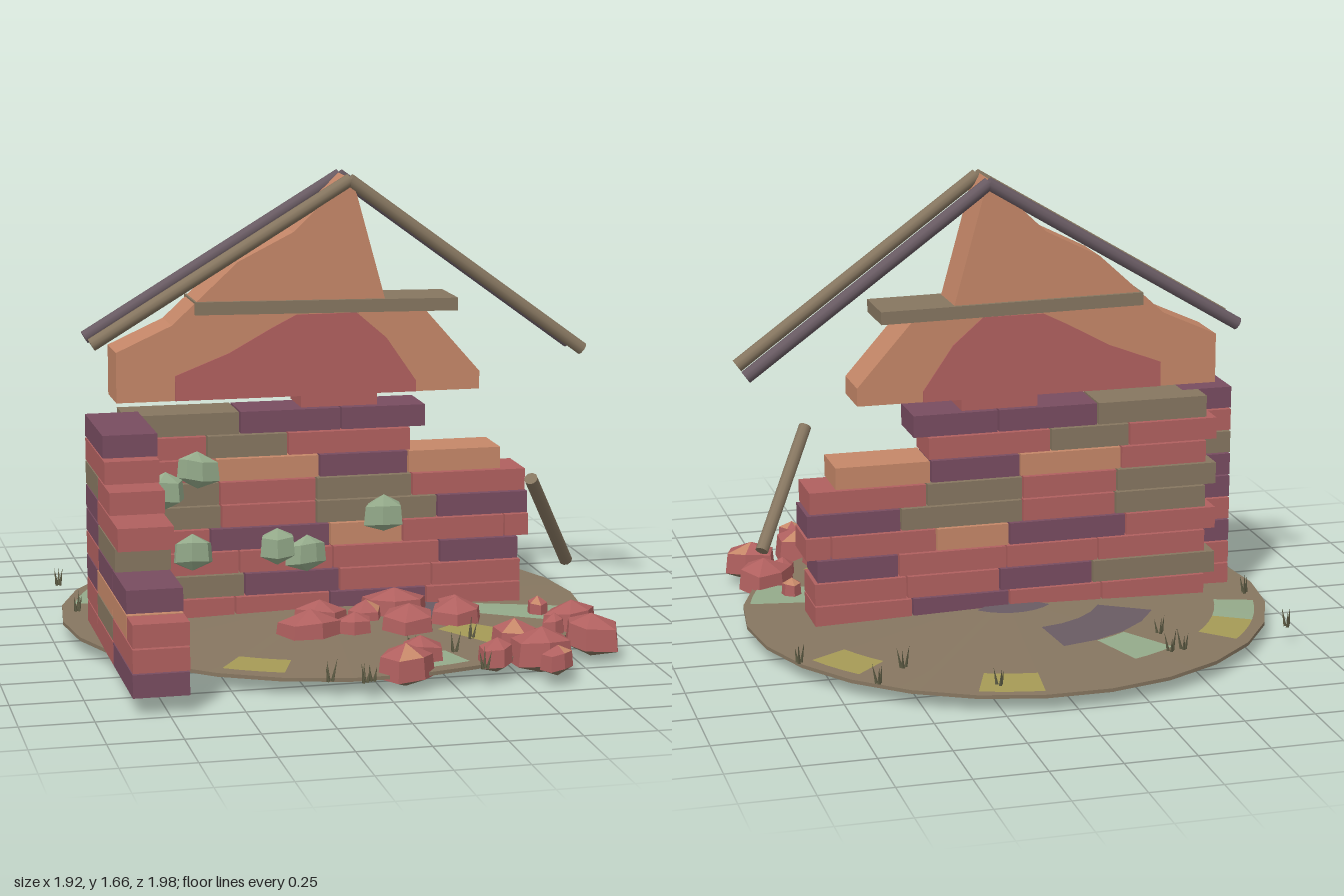
import * as THREE from 'three';

const paint = (name, color, side = THREE.FrontSide) => {
  const m = new THREE.MeshStandardMaterial({ color, side });
  m.name = name;
  return m;
};

export function createModel() {
  const model = new THREE.Group();
  model.name = 'ruinedHouse';
  const M = {
    R: paint('brick red', 0xb0605f),
    P: paint('brick purple', 0x784c60),
    O: paint('olive brown', 0x867660),
    T: paint('terracotta', 0xc58768),
    D: paint('dusky purple', 0x695b63),
    Y: paint('dry yellow', 0xa59a56),
    G: paint('moss green', 0x94aa8a),
    K: paint('dark soil', 0x484346),
    B: paint('grass', 0x65634a, THREE.DoubleSide),
  };
  let seed = 7;
  const rnd = () => (seed = (seed * 16807) % 2147483647) / 2147483647;

  const group = (name) => {
    const g = new THREE.Group();
    g.name = name;
    model.add(g);
    return g;
  };
  const add = (parent, name, geo, mat, x = 0, y = 0, z = 0) => {
    const m = new THREE.Mesh(geo, mat);
    m.name = name;
    m.position.set(x, y, z);
    parent.add(m);
    return m;
  };

  // Ground: 26-sided shallow mound with dark underside
  const SIDES = 26, STEP = (Math.PI * 2) / SIDES, RADIUS = 0.955, CX = -0.004, CZ = -0.05;
  const height = (r) => 0.088 - 0.025 * (r / RADIUS);
  const ground = group('ground');
  const lathe = (pts) => new THREE.LatheGeometry(pts.map((p) => new THREE.Vector2(...p)), SIDES, Math.PI / 2);
  add(ground, 'soilTop', lathe([[RADIUS, height(RADIUS)], [0, height(0)]]), M.O, CX, 0, CZ);
  add(ground, 'soilRim', lathe([[RADIUS, 0.05], [RADIUS, height(RADIUS)]]), M.O, CX, 0, CZ);
  add(ground, 'soilUnderside', new THREE.CircleGeometry(RADIUS, SIDES).rotateX(Math.PI / 2), M.K, CX, 0.05, CZ);

  // Ground patches: [material, inner radius, outer radius, first segment, segment count]
  [['D', 0.345, 0.545, 7, 4], ['D', 0.01, 0.18, 3, 7], ['D', 0.345, 0.555, -3, 2],
    ['G', 0.55, 0.765, 8, 1], ['G', 0.765, 0.91, 11, 1], ['G', 0.765, 0.91, -6, 1], ['G', 0.555, 0.93, -2, 1],
    ['Y', 0.765, 0.91, 10, 1], ['Y', 0.765, 0.93, 5, 1], ['Y', 0.765, 0.91, 2, 1],
    ['Y', 0.765, 0.91, -9, 1], ['Y', 0.555, 0.85, -4, 1],
  ].forEach(([c, r0, r1, s, n]) => {
    const geo = new THREE.RingGeometry(r0, r1, n, 1, s * STEP, n * STEP).rotateX(-Math.PI / 2);
    const p = geo.attributes.position;
    for (let i = 0; i < p.count; i++) p.setY(i, height(Math.hypot(p.getX(i), p.getZ(i))) + 0.004);
    geo.computeVertexNormals();
    add(ground, 'groundPatch', geo, M[c], CX, 0, CZ);
  });

  // Brick courses, bottom to top: alternating colour and brick end
  const PITCH = 0.085, BRICK = 0.079, GAP = 0.007;
  const rowY = (i) => 0.101 + PITCH * i;
  const backRows = [
    ['R', -0.35, 'R', 0, 'P', 0.36, 'R', 0.72],
    ['O', -0.315, 'P', 0.035, 'R', 0.38, 'R', 0.72],
    ['R', -0.335, 'R', 0.01, 'R', 0.41, 'P', 0.71],
    ['R', -0.44, 'P', 0, 'T', 0.27, 'R', 0.655, 'R', 0.75],
    ['O', -0.4, 'R', -0.05, 'O', 0.4, 'P', 0.745],
    ['O', -0.405, 'R', -0.05, 'O', 0.305, 'R', 0.735],
    ['R', -0.42, 'T', -0.04, 'P', 0.29, 'T', 0.64],
    ['R', -0.45, 'O', -0.155, 'R', 0.3],
    ['O', -0.33, 'P', 0.04, 'P', 0.355],
  ];
  const sideRows = [
    ['R', 0.2, 'R', 0.55, 'P', 0.97],
    ['R', 0.2, 'O', 0.55, 'R', 0.975],
    ['P', 0.2, 'T', 0.55, 'T', 0.855, 'R', 0.975],
    ['R', 0.24, 'P', 0.55, 'P', 0.855],
    ['P', 0.24, 'O', 0.625],
    ['P', 0.23, 'R', 0.69],
    ['O', 0.25, 'R', 0.515],
    ['R', 0.41],
    ['P', 0.375],
  ];
  const backWall = group('backWall'), sideWall = group('sideWall');
  const course = (row, start, place) => {
    for (let k = 0; k < row.length; k += 2) {
      place(M[row[k]], (start + row[k + 1]) / 2, row[k + 1] - start);
      start = row[k + 1] + GAP;
    }
  };
  backRows.forEach((row, i) => course(row, i % 2 ? -0.78 : -0.74, (mat, c, len) =>
    add(backWall, 'brick', new THREE.BoxGeometry(len, BRICK, 0.19), mat, c, rowY(i), -0.045)));
  sideRows.forEach((row, i) => course(row, -0.04, (mat, c, len) =>
    add(sideWall, 'brick', new THREE.BoxGeometry(0.19, BRICK, len), mat, -0.775, rowY(i), c)));
  add(backWall, 'topBrick', new THREE.BoxGeometry(0.28, BRICK, 0.18), M.R, 0.038, rowY(9), -0.045);

  // Broken gable with exposed brick plates on both faces
  const slab = (pts, depth) => new THREE.ExtrudeGeometry(
    new THREE.Shape(pts.map((p) => new THREE.Vector2(...p))), { depth, bevelEnabled: false });
  const gable = group('gable');
  add(gable, 'gableWall', slab([[-0.77, 0.87], [0.558, 0.87], [0.558, 0.935], [0.36, 1.16], [0.205, 1.21],
    [0.1, 1.59], [0.07, 1.65], [-0.13, 1.46], [-0.33, 1.36], [-0.57, 1.14], [-0.77, 1.05]], 0.19), M.T, 0, 0, -0.14);
  const exposed = slab([[-0.56, 0.87], [0.32, 0.87], [0.32, 0.91], [0.21, 1.07], [0.1, 1.165],
    [-0.12, 1.165], [-0.21, 1.12], [-0.365, 1.035], [-0.56, 0.96]], 0.006);
  add(gable, 'exposedBrickFront', exposed, M.R, 0, 0, 0.049);
  add(gable, 'exposedBrickBack', exposed, M.R, 0, 0, -0.145);

  // Timber: rafters, cross plank and a fallen post
  const timber = group('timber');
  const beam = (name, a, b, mat) => {
    const A = new THREE.Vector3(...a), d = new THREE.Vector3(...b).sub(A);
    const m = add(timber, name, new THREE.CylinderGeometry(0.024, 0.024, d.length(), 10), mat);
    m.position.copy(A).addScaledVector(d, 0.5);
    m.quaternion.setFromUnitVectors(new THREE.Vector3(0, 1, 0), d.normalize());
  };
  [[0.04, M.O, 'front'], [-0.13, M.D, 'back']].forEach(([z, mat, n]) => {
    beam(n + 'RightRafter', [-0.855, 1.08, z], [0.08, 1.64, z], mat);
    beam(n + 'LeftRafter', [0.075, 1.64, z], [0.95, 1.0, z], mat);
  });
  beam('fallenPost', [0.615, 0.63, 0.515], [0.845, 0.255, 0.21], M.O);
  add(timber, 'crossPlank', new THREE.BoxGeometry(0.96, 0.046, 0.22), M.O, -0.008, 1.192, -0.045).rotation.z = -0.015;

  // Irregular faceted stone with pointed top; faces take a material slot from their normal
  const stone = (rx, ry, rz, slot) => {
    const src = new THREE.SphereGeometry(1, 6, 3);
    const p = src.attributes.position, turn = rnd() * 6, ph = rnd() * 6;
    for (let i = 0; i < p.count; i++) {
      const x = p.getX(i), y = p.getY(i), z = p.getZ(i);
      const k = (1 + 0.12 * Math.sin(3 * x + ph) + 0.1 * Math.cos(4 * z + ph)) * (y < 0 ? 1.15 : 1.05);
      p.setXYZ(i, x * k, y - 0.15 * Math.sin(2 * x + ph) * (1 - y * y), z * k);
    }
    const geo = src.toNonIndexed().rotateY(turn).scale(rx, ry, rz);
    geo.computeVertexNormals();
    if (slot) {
      for (let i = 0; i < geo.attributes.position.count; i += 3) geo.addGroup(i, 3, slot(geo.attributes.normal.getY(i)));
    }
    return geo;
  };

  // Rubble: [x, z, radius]
  const rubble = group('rubble');
  [[-0.07, 0.2, 0.09], [0.22, 0.14, 0.12], [0.1, 0.2, 0.07], [0.02, 0.36, 0.07], [-0.14, 0.36, 0.115],
    [0.22, 0.355, 0.11], [0.425, 0.22, 0.08], [0.41, 0.29, 0.105], [0.8, 0.42, 0.1], [0.715, 0.49, 0.045],
    [0.73, 0.24, 0.042], [0.535, 0.6, 0.09], [0.81, 0.62, 0.105], [0.16, 0.74, 0.085], [0.08, 0.85, 0.1],
    [0.415, 0.8, 0.068], [0.583, 0.77, 0.115], [0.595, 0.915, 0.053],
  ].forEach(([x, z, r]) => {
    const slot = (ny) => (ny < -0.3 ? 2 : ny > 0.5 && rnd() < 0.17 ? 1 : 0);
    add(rubble, 'rubbleStone', stone(r, 0.03 + r * 0.45, r * 0.9, slot), [M.R, M.T, M.O], x, 0.085, z);
  });

  // Moss clumps on the wall face: [x, y]
  const moss = group('moss');
  [[-0.6, 0.55], [-0.485, 0.62], [-0.505, 0.32], [-0.195, 0.325], [-0.085, 0.295], [0.2, 0.43]]
    .forEach(([x, y]) => add(moss, 'mossClump', stone(0.07, 0.068, 0.035), M.G, x, y, 0.063));

  // Grass tufts: [x, z]
  const grass = group('grass');
  const blade = new THREE.ConeGeometry(0.007, 0.075, 3).translate(0, 0.0375, 0);
  [[-0.905, -0.57], [-0.89, -0.175], [-0.47, -0.7], [-0.42, -0.71], [-0.44, -0.53], [0.245, -0.88], [0.63, -0.75],
    [0.515, -0.625], [0.85, -0.48], [0.16, 0.61], [0.3, 0.67], [0.345, 0.9], [0.4, 0.525], [-0.2, 0.93],
    [-0.09, 0.97], [-0.06, 0.955],
  ].forEach(([x, z]) => {
    for (let k = 0; k < 3; k++) {
      const a = k * 2.1 + rnd();
      const b = add(grass, 'grassBlade', blade, M.B, x + 0.008 * Math.cos(a), 0.066, z + 0.008 * Math.sin(a));
      b.rotation.set(0.2 * Math.sin(a), 0, -0.2 * Math.cos(a));
      b.scale.y = 0.7 + 0.4 * rnd();
    }
  });

  return model;
}
